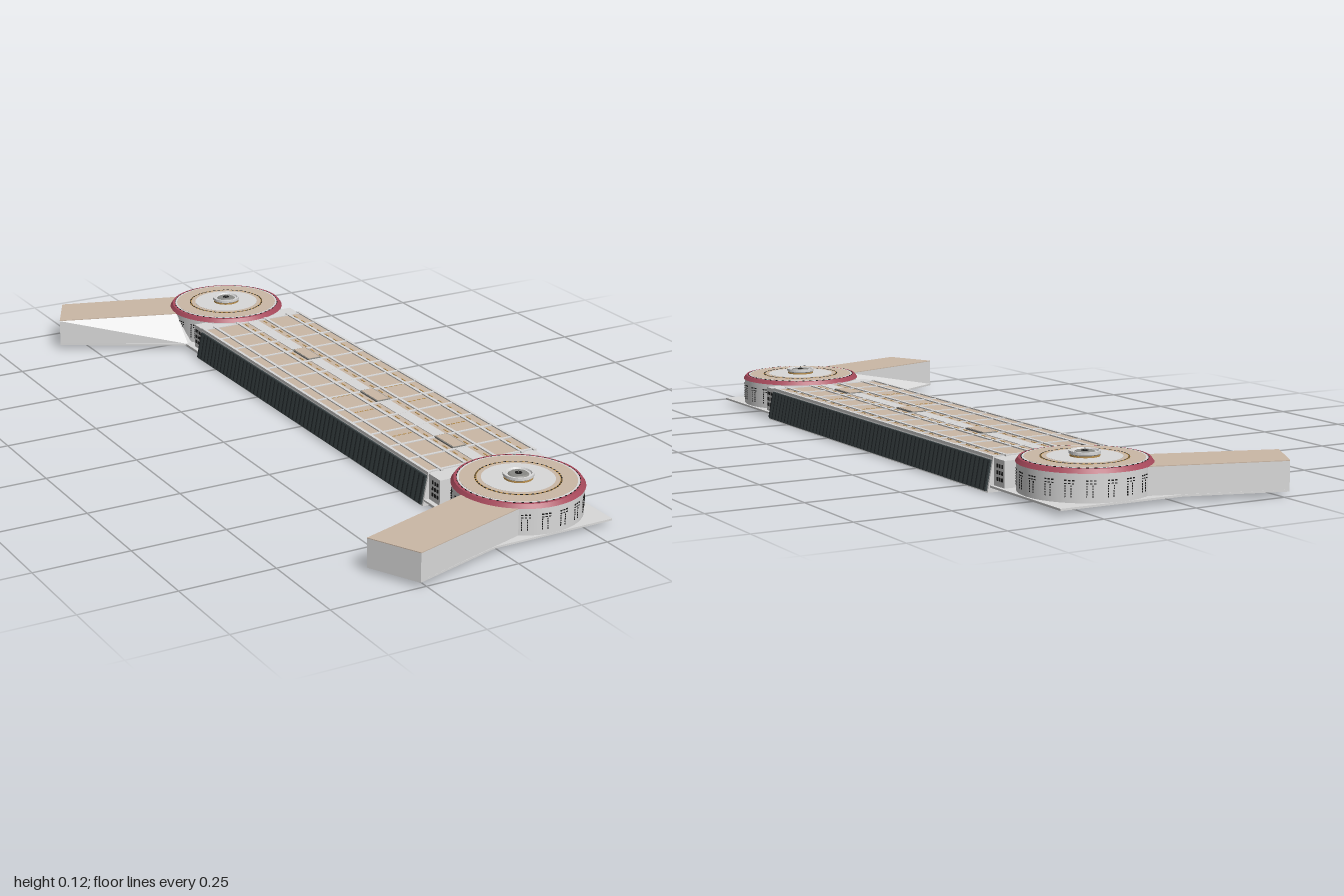
import * as THREE from 'three';
import { mergeGeometries } from 'three/addons/utils/BufferGeometryUtils.js';

const mat = (name, color) => new THREE.MeshStandardMaterial({ name, color });

export function createModel() {
  const model = new THREE.Group();
  model.name = 'terminalBuilding';
  const wall = mat('pale grey wall', 0xd9d9d9);
  const roof = mat('beige roof', 0xcbb8a6);
  const glass = mat('dark glass', 0x3b4446);
  const fin = mat('dark fin', 0x23292b);
  const red = mat('maroon rim', 0xa84a5c);
  const gold = mat('ochre trim', 0xb9904f);
  const black = mat('black detail', 0x1c1c1c);
  const steel = mat('mid grey hub', 0x8a8a86);
  const CX = 0.153;

  const add = (parent, name, geometry, material, x = 0, y = 0, z = 0) => {
    const m = new THREE.Mesh(geometry, material);
    m.name = name;
    m.position.set(x, y, z);
    parent.add(m);
    return m;
  };
  const box = (w, h, d, x, y, z) => new THREE.BoxGeometry(w, h, d).translate(x, y, z);

  // Horizontal slab from plan points [x, z]; s mirrors it front to back
  const slab = (pts, y0, y1, s) => {
    const shape = new THREE.Shape(pts.map(([x, z]) => new THREE.Vector2(x, -z * s)));
    return new THREE.ExtrudeGeometry(shape, { depth: y1 - y0, bevelEnabled: false })
      .rotateX(-Math.PI / 2).translate(0, y0, 0);
  };
  // Profile [x, y] run along the length of the building
  const prism = (pts, length) => new THREE.ExtrudeGeometry(
    new THREE.Shape(pts.map(([x, y]) => new THREE.Vector2(x, y))),
    { depth: length, bevelEnabled: false }).translate(0, 0, -length / 2);

  // Long concourse with outward-leaning glass sides
  const hall = new THREE.Group();
  hall.name = 'concourse';
  model.add(hall);
  add(hall, 'concourseBody', prism([[CX - 0.172, 0], [CX + 0.172, 0],
    [CX + 0.157, 0.08], [CX - 0.157, 0.08]], 1.22), wall);
  for (const s of [-1, 1]) {
    add(hall, 'glassSide', prism([[CX + s * 0.170, 0.004], [CX + s * 0.176, 0.004],
      [CX + s * 0.162, 0.077], [CX + s * 0.156, 0.077]], 1.21), glass);
    const fins = [];
    for (let i = 0; i <= 60; i++) {
      fins.push(new THREE.BoxGeometry(0.004, 0.07, 0.005)
        .rotateZ(s * 0.19).translate(CX + s * 0.1695, 0.041, -0.6 + i * 0.02));
    }
    add(hall, 'sideFins', mergeGeometries(fins), fin);
  }

  // Beige roof sheet with a grid of raised beams
  add(hall, 'roofSheet', box(0.312, 0.004, 1.2, CX, 0.082, 0), roof);
  const beams = [];
  for (const dx of [-0.154, -0.118, -0.044, 0.044, 0.118, 0.154]) {
    beams.push(box(0.008, 0.007, 1.22, CX + dx, 0.0835, 0));
  }
  for (let i = 0; i <= 13; i++) {
    beams.push(box(0.314, 0.006, 0.007, CX, 0.083, -0.6 + i * 1.2 / 13));
  }
  beams.push(box(0.034, 0.005, 1.2, CX, 0.083, 0));
  add(hall, 'roofBeams', mergeGeometries(beams), wall);

  // Skylights on the spine and ochre marks on the roof
  for (const z of [-0.28, 0.09, 0.46]) {
    add(hall, 'skylightFrame', box(0.04, 0.005, 0.09, CX, 0.0855, z), steel);
    add(hall, 'skylight', box(0.034, 0.006, 0.084, CX, 0.0858, z), roof);
  }
  const marks = [];
  for (let i = 0; i < 26; i++) {
    for (const dx of [-0.03, 0.03, 0.128]) {
      marks.push(box(0.003, 0.001, 0.02, CX + dx, 0.0845, -0.577 + i * 1.2 / 26));
    }
  }
  for (const z of [0.05, 0.17, 0.36]) {
    for (let k = 0; k < 4; k++) {
      for (const dx of [-0.08, 0.08]) {
        marks.push(box(0.01, 0.001, 0.003, CX + dx - 0.023 + k * 0.015, 0.0845, z));
      }
    }
  }
  add(hall, 'roofMarks', mergeGeometries(marks), gold);

  // Short dashes under the concourse
  const slots = [];
  for (let i = 0; i < 10; i++) {
    for (const dx of [-0.05, 0.05]) {
      slots.push(box(0.005, 0.002, 0.04, CX + dx, 0.001, -0.5 + i * 0.11));
    }
  }
  add(hall, 'undersideSlots', mergeGeometries(slots), black);

  // Rotunda and angled wing at each end
  for (const s of [1, -1]) {
    const end = new THREE.Group();
    end.name = s > 0 ? 'frontEnd' : 'backEnd';
    model.add(end);
    const cz = s * 0.765;

    // Ground plate
    add(end, 'basePlate', slab([[-0.265, 1], [-0.33, 0.87], [-0.015, 0.69], [-0.015, 0.6],
      [0.318, 0.6], [0.318, 0.925], [-0.015, 0.925]], 0.012, 0.017, s), wall);

    // Wing: the inner wall spreads outward at the foot of its root
    const plan = [[-0.265, 1], [-0.33, 0.87], [-0.01, 0.765], [0.1, 0.765], [0.1, 0.888]];
    const wing = slab(plan, 0.016, 0.085, s);
    const p = wing.attributes.position;
    for (let i = 0; i < p.count; i++) {
      if (p.getY(i) < 0.03 && Math.abs(p.getX(i) + 0.01) < 0.001) p.setZ(i, s * 0.69);
    }
    wing.computeVertexNormals();
    add(end, 'wingWalls', wing, wall);
    add(end, 'wingRoof', slab(plan, 0.085, 0.087, s), roof);

    // Link between concourse and rotunda
    add(end, 'link', box(0.31, 0.067, 0.06, CX, 0.0495, s * 0.63), wall);
    const grilles = [];
    for (const side of [-1, 1]) {
      for (let k = 0; k < 3; k++) {
        for (let j = 0; j < 3; j++) {
          grilles.push(box(0.002, 0.009, 0.006, CX + side * 0.1555, 0.035 + j * 0.016,
            s * (0.628 + k * 0.011)));
        }
      }
    }
    add(end, 'linkWindows', mergeGeometries(grilles), black);

    // Drum, bevelled rim and ringed roof
    add(end, 'rotundaWall', new THREE.CylinderGeometry(0.16, 0.16, 0.073, 48), wall, CX, 0.0505, cz);
    add(end, 'rotundaRim', new THREE.CylinderGeometry(0.156, 0.163, 0.010, 48), red, CX, 0.091, cz);
    const disc = (name, r, y, m) =>
      add(end, name, new THREE.CylinderGeometry(r, r, 0.002, 48), m, CX, y, cz);
    disc('rotundaEdge', 0.148, 0.0960, wall);
    disc('rotundaRoof', 0.143, 0.0964, roof);
    disc('trimRing', 0.106, 0.0968, gold);
    disc('innerRoof', 0.101, 0.0972, roof);
    disc('innerRing', 0.090, 0.0976, wall);

    // Dotted rings on the roof
    const dots = [];
    for (let i = 0; i < 48; i++) {
      const a = i * Math.PI / 24;
      dots.push(box(0.003, 0.002, 0.007, 0.104, 0.0973, 0).rotateY(a));
      dots.push(box(0.002, 0.002, 0.006, 0.149, 0.0964, 0).rotateY(a));
    }
    add(end, 'roofDots', mergeGeometries(dots), black, CX, 0, cz);

    // Central lantern
    const lantern = [[0.034, 0.097], [0.034, 0.102], [0.038, 0.105], [0.038, 0.112],
      [0.033, 0.112], [0.031, 0.108], [0, 0.108]];
    add(end, 'lanternBase', new THREE.CylinderGeometry(0.036, 0.036, 0.005, 32), gold, CX, 0.1, cz);
    const shell = new THREE.LatheGeometry(lantern.map(([x, y]) => new THREE.Vector2(x, y)), 32)
      .toNonIndexed();
    shell.computeVertexNormals();
    add(end, 'lantern', shell, wall, CX, 0, cz);
    add(end, 'lanternCap', new THREE.CylinderGeometry(0.022, 0.026, 0.003, 24), steel, CX, 0.1095, cz);
    add(end, 'lanternEye', new THREE.CylinderGeometry(0.009, 0.009, 0.002, 16), black, CX, 0.111, cz);
    add(end, 'lanternMast', new THREE.CylinderGeometry(0.001, 0.001, 0.008, 6), steel, CX, 0.114, cz);

    // Window clusters round the drum
    const panes = [];
    for (let i = 0; i < 20; i++) {
      const a = (i + 0.5) * Math.PI / 10;
      const pane = (w, h, dx, y) =>
        panes.push(box(w, h, 0.002, dx, y, 0.16).rotateY(a));
      for (const dx of [-0.009, 0, 0.009]) {
        pane(0.005, 0.003, dx, 0.069);
        pane(0.005, 0.002, dx, 0.062);
      }
      for (let j = 0; j < 5; j++) {
        pane(0.002, 0.004, -0.01, 0.032 + j * 0.006);
        pane(0.002, 0.004, 0.004, 0.032 + j * 0.006);
      }
    }
    add(end, 'rotundaWindows', mergeGeometries(panes), black, CX, 0, cz);

    // Square hatch outline underneath
    const hatch = [];
    for (const k of [-1, 1]) {
      hatch.push(box(0.15, 0.002, 0.005, CX, 0.0115, cz + k * 0.06));
      hatch.push(box(0.005, 0.002, 0.12, CX + k * 0.0725, 0.0115, cz));
    }
    add(end, 'undersideHatch', mergeGeometries(hatch), black);
  }
  return model;
}
